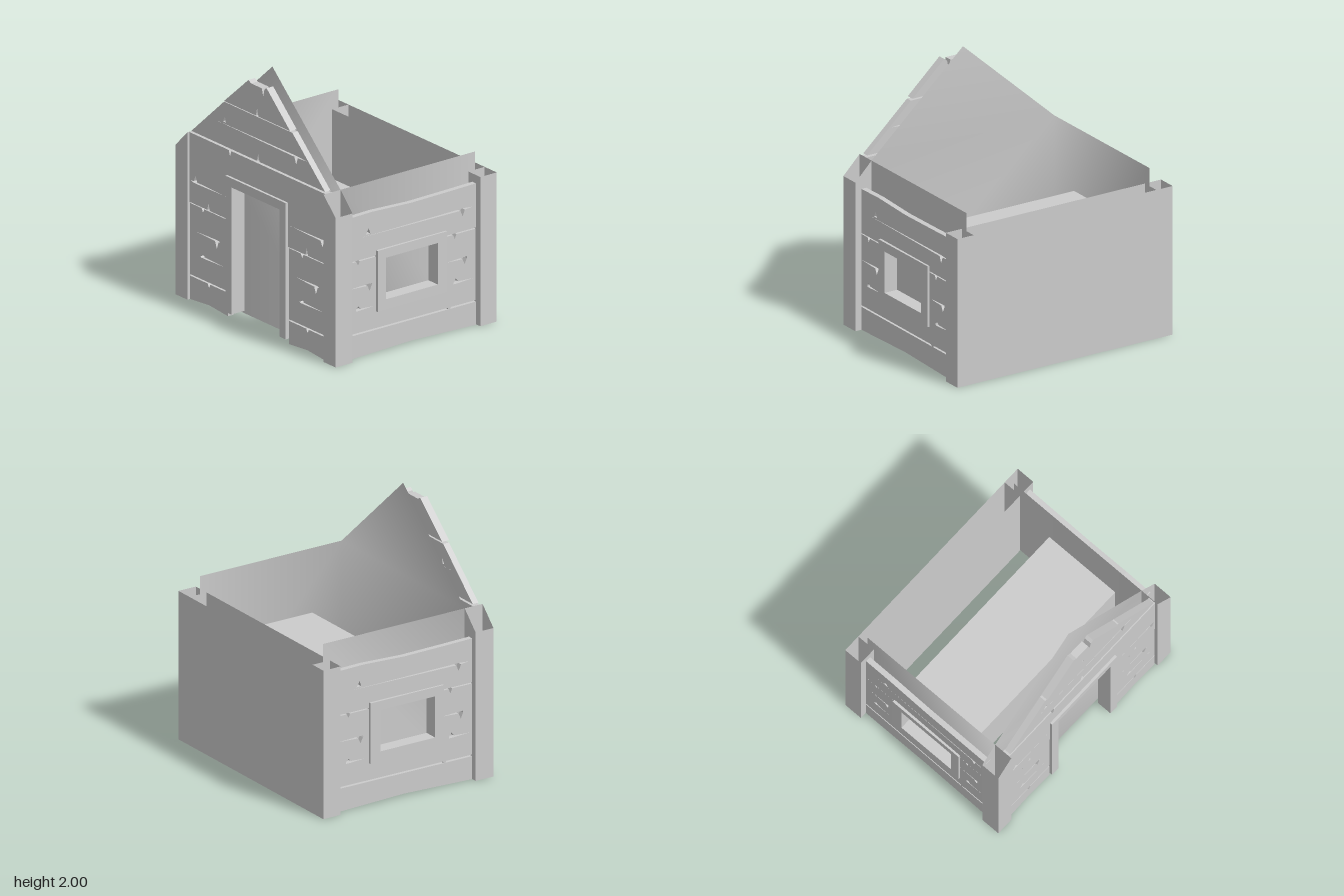
import * as THREE from 'three';

const material = new THREE.MeshStandardMaterial({ color: 0xcccccc, side: THREE.DoubleSide });

function add(parent, name, geometry) {
  const mesh = new THREE.Mesh(geometry, material);
  mesh.name = name;
  parent.add(mesh);
  return mesh;
}

// Upright strip through [x, z, height] corners, open at top and bottom
function strip(corners) {
  const pos = [];
  for (let i = 0; i < corners.length - 1; i++) {
    const [ax, az, ah] = corners[i], [bx, bz, bh] = corners[i + 1];
    pos.push(ax, 0, az, bx, 0, bz, bx, bh, bz, ax, 0, az, bx, bh, bz, ax, ah, az);
  }
  const geo = new THREE.BufferGeometry();
  geo.setAttribute('position', new THREE.Float32BufferAttribute(pos, 3));
  geo.computeVertexNormals();
  return geo;
}

// Plank edge from x0 to x1 at height y, with thin split notches [x, height]
function edge(x0, x1, y, notches = []) {
  const pts = [[x0, y]];
  const dir = Math.sign(x1 - x0);
  for (const [x, h] of notches) pts.push([x - dir * 0.015, y], [x, y + h], [x + dir * 0.015, y]);
  pts.push([x1, y]);
  return pts;
}

// Thin lens-shaped crack with one splinter
function crack(x0, x1, y, sx, h, t = 0.007) {
  const low = [[sx - 0.02, y - t], [sx, h < 0 ? y + h : y - t], [sx + 0.02, y - t]];
  const high = [[sx + 0.02, y + t], [sx, h > 0 ? y + h : y + t], [sx - 0.02, y + t]];
  return [[x0, y], ...low, [x1, y], ...high];
}

function board(points, holes, z, depth) {
  const v = (list) => list.map(([x, y]) => new THREE.Vector2(x, y));
  const shape = new THREE.Shape(v(points));
  for (const h of holes) shape.holes.push(new THREE.Path(v(h)));
  const geo = new THREE.ExtrudeGeometry(shape, { depth, bevelEnabled: false });
  return geo.translate(0, 0, z);
}

const rect = (x0, x1, y0, y1) => [[x0, y0], [x1, y0], [x1, y1], [x0, y1]];

export function createModel() {
  const group = new THREE.Group();

  // Smooth inner shell: two side walls and a closed gabled front
  const plan = [[0.79, -0.65], [0.79, 0.58], [-0.79, 0.58], [-0.79, -0.65]];
  const verts = plan.flatMap(([x, z]) => [x, 0, z, x, 1.29, z]).concat([0, 2, 0.58]);
  const shell = new THREE.BufferGeometry();
  shell.setAttribute('position', new THREE.Float32BufferAttribute(verts, 3));
  shell.setIndex([0, 2, 3, 0, 3, 1, 2, 4, 5, 2, 5, 3, 3, 5, 8, 4, 6, 7, 4, 7, 5]);
  shell.computeVertexNormals();
  add(group, 'innerShell', shell);

  // Corner posts at the front, cut to the roof slope
  for (const s of [-1, 1]) {
    add(group, 'frontPost', strip([
      [s * 0.93, 0.58, 1.15], [s * 0.93, 0.735, 1.15], [s * 0.79, 0.735, 1.29],
      [s * 0.79, 0.58, 1.29], [s * 0.93, 0.58, 1.15],
    ]));
    add(group, 'backPostSide', strip([[s * 0.79, -0.74, 1.15], [s * 0.79, -0.59, 1.15]]));
  }

  // Hollow back wall
  add(group, 'backWall', strip([
    [-0.93, -0.74, 1.15], [0.93, -0.74, 1.15], [0.93, -0.59, 1.15],
    [-0.93, -0.59, 1.15], [-0.93, -0.74, 1.15],
  ]));

  // Front wall planks beside the door
  for (const s of [-1, 1]) {
    const a = s < 0 ? -0.79 : 0.36, b = s < 0 ? -0.35 : 0.785;
    const mid = (a + b) / 2;
    add(group, 'lowerFrontPlank', board(
      [[a, 0], [mid, 0.018], [b, 0], ...edge(b, a, 0.18, [[mid, -0.03]])], [], 0.655, 0.055));
    add(group, 'middleFrontPlank', board(
      [...edge(a, b, 0.192), ...edge(b, a, 0.74, [[a + 0.15, -0.03]])],
      [crack(a + 0.06, a + 0.35, 0.54, a + 0.31, -0.06), crack(a + 0.12, a + 0.39, 0.365, a + 0.15, 0.035)],
      0.65, 0.06));
  }

  // Upper front plank spanning the doorway
  add(group, 'upperFrontPlank', board([
    ...edge(-0.79, -0.34, 0.75, [[-0.57, 0.055]]), [-0.34, 1.07], [0.34, 1.07],
    ...edge(0.34, 0.785, 0.75, [[0.57, 0.055]]), ...edge(0.785, -0.79, 1.287, [[-0.32, -0.045]]),
  ], [crack(-0.775, -0.37, 0.918, -0.72, 0.055), crack(0.37, 0.775, 0.918, 0.75, -0.05)], 0.655, 0.06));

  // Gable planks
  const slope = (y) => (2 - y) * 1.113 - 0.004;
  add(group, 'lowerGablePlank', board([
    ...edge(-slope(1.3), slope(1.3), 1.3, [[0, 0.055]]),
    ...edge(slope(1.64), -slope(1.64), 1.64),
  ], [crack(-0.52, 0.565, 1.47, 0.44, -0.06), [[-0.41, 1.485], [-0.375, 1.485], [-0.385, 1.53]]], 0.66, 0.05));
  add(group, 'upperGablePlank', board([
    ...edge(-slope(1.652), slope(1.652), 1.652, [[0, 0.06]]),
    [0.11, 1.9], [0.09, 1.885], ...edge(0.085, -0.07, 1.882, [[0.07, -0.06]]), [-0.1, 1.9],
  ], [], 0.66, 0.06));

  // Door frame
  add(group, 'doorFrame', board([
    [-0.35, 0.04], [-0.28, 0.04], [-0.28, 1.02], [0.28, 1.02],
    [0.28, 0.04], [0.35, 0.04], [0.35, 1.09], [-0.35, 1.09],
  ], [], 0.615, 0.12));

  // Side plank walls, the second one turned half round
  for (let i = 0; i < 2; i++) {
    const side = new THREE.Group();
    side.name = i ? 'rightPlankWall' : 'leftPlankWall';
    const hang = (name, points, holes, out) =>
      add(side, name, board(points, holes, -out, 0.042).rotateY(-Math.PI / 2));
    hang('lowerSidePlank', [[-0.59, 0], [0, 0.018], [0.58, 0],
      ...edge(0.58, -0.59, 0.178, [])], [], 0.882);
    hang('middleSidePlank', [
      ...edge(-0.59, 0.58, 0.19, [[-0.35, -0.03]]),
      ...edge(0.58, 0.29, 0.74, [[0.48, -0.03]]), [0.29, 0.36], [-0.28, 0.36],
      ...edge(-0.28, -0.59, 0.74, [[-0.4, -0.035]]),
    ], [
      crack(0.35, 0.57, 0.54, 0.375, -0.05), crack(0.34, 0.5, 0.365, 0.48, 0.03),
      crack(-0.51, -0.32, 0.54, -0.49, -0.05), crack(-0.57, -0.39, 0.365, -0.41, 0.035),
    ], 0.88);
    hang('upperSidePlank', [
      ...edge(-0.59, 0.58, 0.75, []), [0.58, 1.09], [0.35, 1.095], [0, 1.08], [-0.35, 1.085], [-0.59, 1.09],
    ], [crack(-0.56, 0.48, 0.918, -0.47, -0.055), [[0.37, 0.932], [0.41, 0.932], [0.385, 0.975]]], 0.882);
    side.rotation.y = i * Math.PI - 0.008;
    group.add(side);
  }

  // Window frame running through from side to side
  add(group, 'windowFrame', board(rect(-0.31, 0.325, 0.32, 0.79),
    [rect(-0.225, 0.25, 0.4, 0.72)], -0.9, 1.8).rotateY(-Math.PI / 2));

  return group;
}
